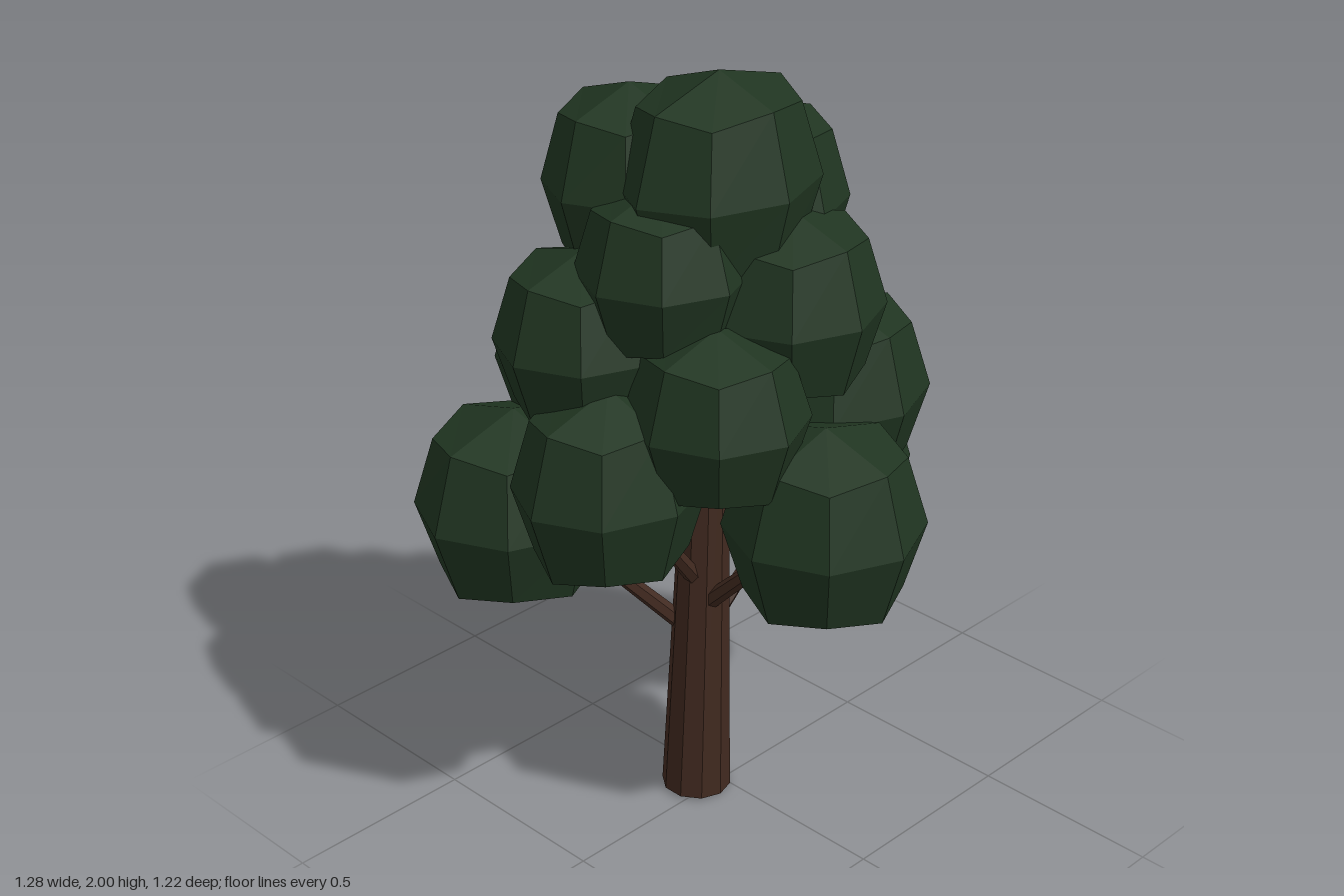
import * as THREE from 'three';

const bark = new THREE.MeshStandardMaterial({ color: 0x40291f });
bark.name = 'bark brown';
const leaf = new THREE.MeshStandardMaterial({ color: 0x203521 });
leaf.name = 'leaf green';

// Give every face its own flat normal
function faceted(geometry) {
  const g = geometry.toNonIndexed();
  g.computeVertexNormals();
  return g;
}

// Rounded cube: edges and corners pulled in, a little fuller above and below than around
function clumpGeometry() {
  const g = new THREE.BoxGeometry(2, 2, 2, 2, 2, 2);
  const p = g.attributes.position;
  for (let i = 0; i < p.count; i++) {
    const [x, y, z] = [p.getX(i), p.getY(i), p.getZ(i)].map(Math.round);
    const n = Math.abs(x) + Math.abs(y) + Math.abs(z);
    let side = 1;
    let up = 1;
    if (n === 3) [side, up] = [0.55, 0.69];
    else if (n === 2) [side, up] = y === 0 ? [0.7, 1] : [0.765, 0.775];
    p.setXYZ(i, x * side, y * up, z * side);
  }
  return faceted(g);
}

// Tapered limb between two points
function limb(name, from, to, r0, r1, sides) {
  const a = new THREE.Vector3(...from);
  const b = new THREE.Vector3(...to);
  const dir = b.clone().sub(a);
  const mesh = new THREE.Mesh(faceted(new THREE.CylinderGeometry(r1, r0, dir.length(), sides)), bark);
  mesh.name = name;
  mesh.position.copy(a).add(b).multiplyScalar(0.5);
  mesh.quaternion.setFromUnitVectors(new THREE.Vector3(0, 1, 0), dir.normalize());
  return mesh;
}

export function createModel() {
  const tree = new THREE.Group();
  tree.name = 'tree';

  // Trunk, leaning slightly, its top hidden in the crown
  tree.add(limb('trunk', [-0.056, 0.003, -0.04], [-0.01, 1.1, -0.04], 0.09, 0.055, 10));

  // Branches reaching into the lower clumps
  const branches = [
    [[-0.03, 0.44, -0.04], [0.39, 0.8, -0.04]],
    [[-0.05, 0.46, -0.06], [-0.37, 0.86, -0.33]],
    [[-0.05, 0.56, -0.01], [-0.02, 0.93, 0.36]],
    [[-0.04, 0.6, -0.03], [-0.39, 1.05, 0.015]],
    [[-0.03, 0.65, -0.06], [0.17, 0.99, -0.35]],
  ];
  for (const [from, to] of branches) tree.add(limb('branch', from, to, 0.024, 0.014, 6));

  // Leaf clumps: centre, then radii
  const clumps = [
    // lower ring
    [-0.02, 0.93, 0.36, 0.25, 0.255, 0.25],
    [0.39, 0.805, -0.04, 0.25, 0.26, 0.25],
    [-0.38, 0.865, -0.335, 0.265, 0.255, 0.25],
    [0.17, 0.99, -0.35, 0.24, 0.25, 0.26],
    [-0.39, 1.05, 0.015, 0.25, 0.25, 0.225],
    // middle
    [0.25, 1.12, 0.14, 0.255, 0.245, 0.23],
    [-0.22, 1.235, 0.2, 0.22, 0.22, 0.225],
    [-0.14, 1.18, -0.33, 0.23, 0.24, 0.23],
    [0.21, 1.3, -0.13, 0.24, 0.24, 0.215],
    [-0.32, 1.36, -0.13, 0.23, 0.225, 0.22],
    [0.04, 1.43, 0.19, 0.235, 0.235, 0.22],
    // upper
    [0.03, 1.49, -0.21, 0.22, 0.24, 0.22],
    [-0.22, 1.55, 0.03, 0.215, 0.215, 0.21],
    [0.13, 1.62, 0, 0.225, 0.24, 0.21],
    [-0.14, 1.7, -0.16, 0.22, 0.235, 0.205],
    [-0.07, 1.74, 0.06, 0.265, 0.26, 0.22],
  ];
  const geometry = clumpGeometry();
  const crown = new THREE.Group();
  crown.name = 'crown';
  for (const [x, y, z, rx, ry, rz] of clumps) {
    const clump = new THREE.Mesh(geometry, leaf);
    clump.name = 'leafClump';
    clump.position.set(x, y, z);
    clump.scale.set(rx, ry, rz);
    crown.add(clump);
  }
  tree.add(crown);
  return tree;
}
